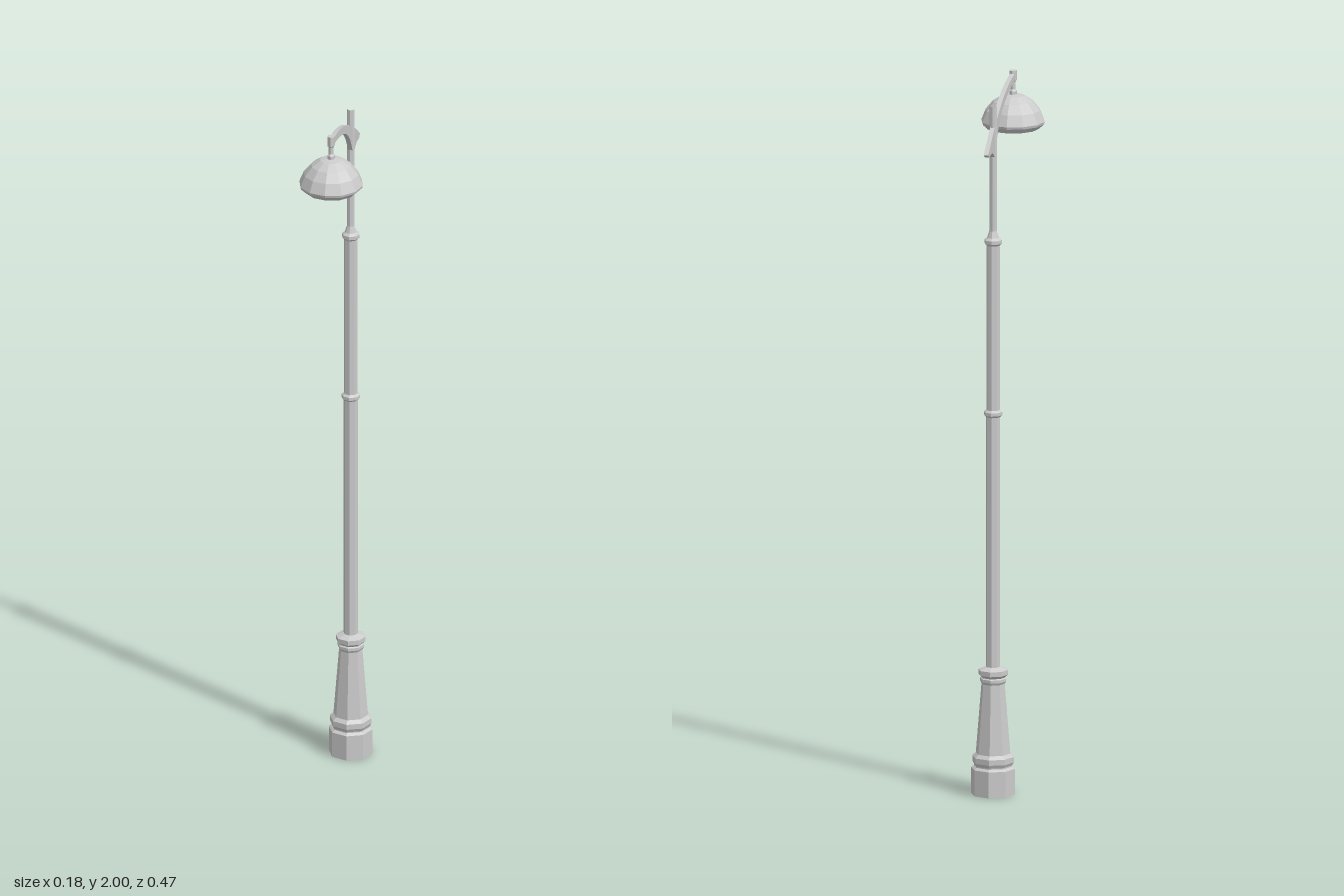
import * as THREE from 'three';

const POLE_Z = -0.135;
const LAMP_Z = 0.145;

const material = new THREE.MeshStandardMaterial({ color: 0xcccccc, flatShading: true });

// Faceted turned part from [radius, y] pairs listed bottom to top
function turned(name, profile, sides, z) {
  const points = profile.map(([r, y]) => new THREE.Vector2(r, y));
  const mesh = new THREE.Mesh(new THREE.LatheGeometry(points, sides), material);
  mesh.name = name;
  mesh.position.z = z;
  return mesh;
}

// Bevelled ring around a shaft that may change radius from r0 to r1
const ring = (y, r0, r, r1, h) => [
  [r0, y - h], [r, y - h * 0.45], [r, y + h * 0.45], [r1, y + h],
];

export function createModel() {
  const model = new THREE.Group();
  model.name = 'streetLamp';

  // Octagonal plinth, open in the middle underneath
  model.add(turned('plinth', [
    [0.013, 0], [0.062, 0], [0.062, 0.074], [0.054, 0.08],
    ...ring(0.1, 0.054, 0.059, 0.049, 0.017),
  ], 8, POLE_Z));

  // Tapered pedestal with its collar
  model.add(turned('pedestal', [
    [0.049, 0.117], [0.033, 0.315], [0.037, 0.322], [0.037, 0.33],
    ...ring(0.348, 0.033, 0.042, 0.02, 0.015),
  ], 8, POLE_Z));

  // Main shaft with two collars, stepping in to a slim open-topped tube
  model.add(turned('shaft', [
    [0.02, 0.36],
    ...ring(1.085, 0.02, 0.026, 0.019, 0.01),
    ...ring(1.575, 0.019, 0.025, 0.017, 0.011),
    [0.0105, 1.605], [0.0105, 1.96],
  ], 8, POLE_Z));

  // Flat curved bracket arm, drawn in the z-y plane
  const width = 0.013;
  const outline = new THREE.Shape();
  outline.moveTo(0.14, 1.992);
  outline.bezierCurveTo(0.02, 1.985, -0.09, 1.945, -0.235, 1.842);
  outline.lineTo(-0.218, 1.833);
  outline.quadraticCurveTo(-0.175, 1.845, -0.146, 1.818);
  outline.lineTo(-0.128, 1.835);
  outline.bezierCurveTo(-0.09, 1.91, -0.02, 1.955, 0.14, 1.973);
  outline.closePath();
  const armGeometry = new THREE.ExtrudeGeometry(outline, {
    depth: width, bevelEnabled: false, curveSegments: 8,
  });
  armGeometry.translate(0, 0, -width / 2).rotateY(-Math.PI / 2);
  const arm = new THREE.Mesh(armGeometry, material);
  arm.name = 'bracketArm';
  model.add(arm);

  // Hexagonal hanger between arm and shade
  model.add(turned('hanger', [
    [0.011, 1.925], [0.011, 1.942], [0.007, 1.947], [0.007, 1.968],
    [0.011, 1.972], [0.011, 2], [0, 2],
  ], 6, LAMP_Z));

  // Twelve-sided domed shade with a closed underside
  model.add(turned('lampShade', [
    [0, 1.834], [0.073, 1.836], [0.088, 1.85], [0.09, 1.857],
    [0.077, 1.888], [0.056, 1.913], [0.031, 1.929], [0, 1.934],
  ], 12, LAMP_Z));

  return model;
}
